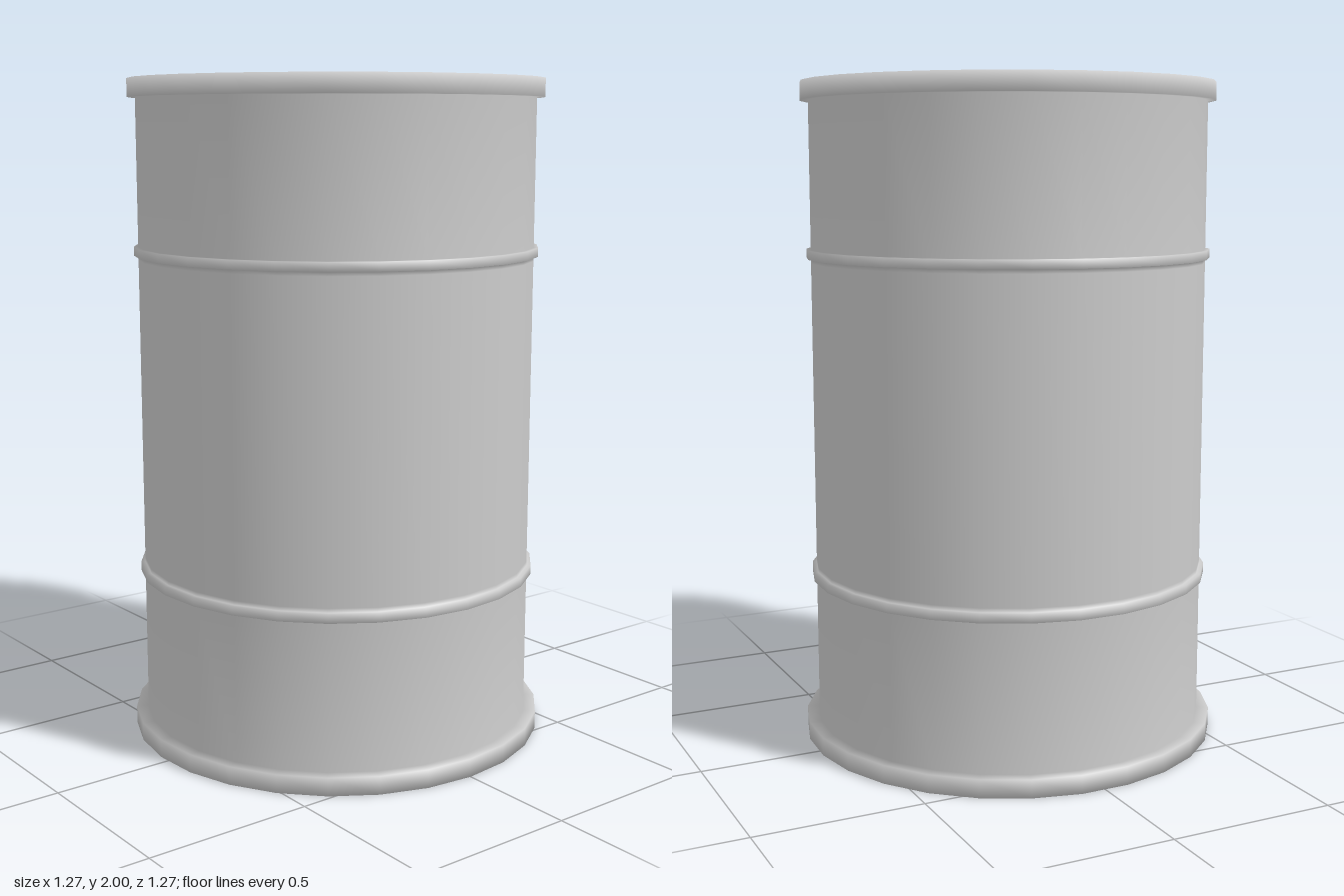
import * as THREE from 'three';

const SIDES = 27;
const material = new THREE.MeshStandardMaterial({ color: 0xcccccc, side: THREE.DoubleSide });

// Skin over horizontal rings [centreX, centreZ, radius, y, normalOut, normalUp]
function loftRings(rings) {
  const positions = [], normals = [], indices = [];
  const row = SIDES + 1;
  rings.forEach(([cx, cz, r, y, out, up], k) => {
    for (let i = 0; i <= SIDES; i++) {
      const a = (i / SIDES) * Math.PI * 2;
      const c = Math.cos(a), s = Math.sin(a);
      const n = new THREE.Vector3(c * out, up, s * out).normalize();
      positions.push(cx + r * c, y, cz + r * s);
      normals.push(n.x, n.y, n.z);
      if (k > 0 && i < SIDES) {
        const inner = k * row + i, outer = inner - row;
        indices.push(outer, inner + 1, outer + 1, outer, inner, inner + 1);
      }
    }
  });
  const geometry = new THREE.BufferGeometry();
  geometry.setAttribute('position', new THREE.Float32BufferAttribute(positions, 3));
  geometry.setAttribute('normal', new THREE.Float32BufferAttribute(normals, 3));
  geometry.setIndex(indices);
  return geometry;
}

export function createModel() {
  const group = new THREE.Group();
  const add = (name, geometry) => {
    const mesh = new THREE.Mesh(geometry, material);
    mesh.name = name;
    group.add(mesh);
  };

  // Drum shell: recessed base, bottom rim, wall with two hoops, top rim
  const wall = 0.6, hoop = 0.613;
  const profile = [
    [0, 0.02], [0.59, 0.02], [0.59, 0], [0.637, 0], [0.637, 0.055], [wall, 0.055],
    [wall, 0.5], [hoop, 0.5], [hoop, 0.527], [wall, 0.527], [wall, 0.54],
    [wall, 1.465], [wall, 1.478], [hoop, 1.478], [hoop, 1.505], [wall, 1.505],
    [wall, 1.945], [0.624, 1.945], [0.624, 2], [0.547, 2], [0.547, 1.94],
  ].map(([r, y]) => new THREE.Vector2(r, y));
  add('drumShell', new THREE.LatheGeometry(profile, SIDES, Math.PI / 2));

  // Sunken lid running into the off-centre filler neck
  const nx = 0.41, nz = -0.04, lidY = 1.94, neckY = 1.99;
  add('lidWithFillerNeck', loftRings([
    [0, 0, 0.547, lidY, -1, 1],
    [nx, nz, 0.073, lidY, 1, 1],
    [nx, nz, 0.073, neckY, 1, 1],
    [nx, nz, 0.056, neckY, -1, 1],
    [nx, nz, 0.056, 1.95, -1, 1],
    [nx, nz, 0, 1.95, 0, 1],
  ]));

  return group;
}
